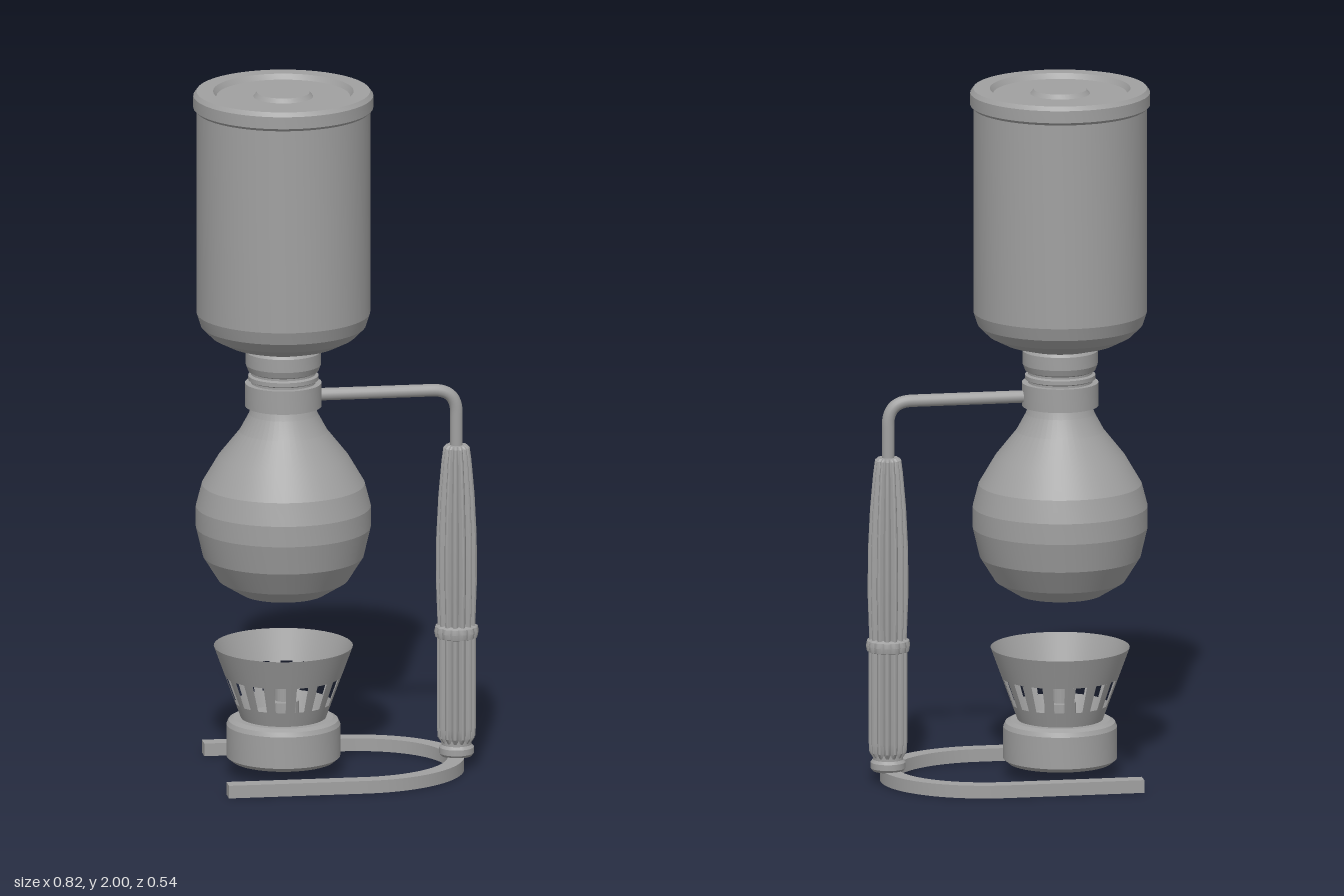
import * as THREE from 'three';
import { toCreasedNormals } from 'three/addons/utils/BufferGeometryUtils.js';

const AXIS_X = -0.155;   // vertical axis of the vessels and burner
const HANDLE_X = 0.342;  // vertical axis of the stand handle

export function createModel() {
  const model = new THREE.Group();
  model.name = 'siphonBrewer';
  const grey = new THREE.MeshStandardMaterial({ color: 0xa0a0a0, side: THREE.DoubleSide });
  grey.name = 'grey';

  function add(name, geometry, x = 0, y = 0, z = 0, parent = model) {
    const mesh = new THREE.Mesh(geometry, grey);
    mesh.name = name;
    mesh.position.set(x, y, z);
    parent.add(mesh);
    return mesh;
  }

  // Profiles are [radius, y] pairs running from bottom to top
  function lathe(profile, segments = 48, crease = 0.2) {
    const points = profile.map(([r, y]) => new THREE.Vector2(r, y));
    return toCreasedNormals(new THREE.LatheGeometry(points, segments), crease);
  }

  // Lathe with vertical flutes: depth is the groove depth as a fraction of radius
  function fluted(profile, ribs, depth) {
    const points = profile.map(([r, y]) => new THREE.Vector2(r, y));
    const geometry = new THREE.LatheGeometry(points, ribs * 6);
    const p = geometry.attributes.position;
    for (let i = 0; i < p.count; i++) {
      const angle = Math.atan2(p.getX(i), p.getZ(i));
      const k = 1 - depth * (1 - Math.abs(Math.sin(angle * ribs / 2)));
      p.setXYZ(i, p.getX(i) * k, p.getY(i), p.getZ(i) * k);
    }
    return toCreasedNormals(geometry, 0.45);
  }

  // Lid: raised rim, shallow recess and a low central disc
  add('lid', lathe([
    [0, 1.945], [0.248, 1.945], [0.256, 1.953], [0.256, 1.988], [0.247, 2],
    [0.2, 2], [0.19, 1.985], [0.085, 1.985], [0.075, 1.997], [0, 1.997],
  ]), AXIS_X);

  // Upper chamber
  add('upperChamber', lathe([
    [0, 1.245], [0.105, 1.247], [0.16, 1.262], [0.205, 1.285], [0.235, 1.315],
    [0.247, 1.352], [0.247, 1.946],
  ]), AXIS_X);

  // Stopper and neck rings between the vessels
  add('stopper', lathe([
    [0.092, 1.14], [0.092, 1.152], [0.1, 1.156], [0.1, 1.168], [0.092, 1.172],
    [0.092, 1.178], [0.1, 1.182], [0.107, 1.2], [0.107, 1.238], [0.1, 1.248], [0, 1.248],
  ]), AXIS_X);
  add('neckCollar', lathe([
    [0.09, 1.078], [0.109, 1.078], [0.109, 1.146], [0.09, 1.146],
  ]), AXIS_X);

  // Lower flask
  add('lowerFlask', lathe([
    [0, 0.522], [0.07, 0.52], [0.12, 0.53], [0.185, 0.57], [0.229, 0.64],
    [0.249, 0.725], [0.249, 0.785], [0.232, 0.85], [0.185, 0.93], [0.125, 1.005],
    [0.098, 1.055], [0.09, 1.08],
  ]), AXIS_X);

  // Support arm
  const arm = new THREE.CurvePath();
  const v = (x, y) => new THREE.Vector3(x, y, 0);
  arm.add(new THREE.LineCurve3(v(-0.06, 1.107), v(0.272, 1.107)));
  arm.add(new THREE.CubicBezierCurve3(
    v(0.272, 1.107), v(0.32, 1.107), v(HANDLE_X, 1.085), v(HANDLE_X, 1.037)));
  arm.add(new THREE.LineCurve3(v(HANDLE_X, 1.037), v(HANDLE_X, 0.92)));
  add('supportArm', new THREE.TubeGeometry(arm, 60, 0.018, 16));

  // Fluted handle with a middle ring and a foot
  const handle = new THREE.Group();
  handle.name = 'handle';
  handle.position.x = HANDLE_X;
  model.add(handle);
  add('handleGrip', fluted([
    [0.054, 0.41], [0.059, 0.55], [0.058, 0.68], [0.052, 0.8], [0.043, 0.9],
    [0.038, 0.937], [0.03, 0.945], [0, 0.945],
  ], 14, 0.18), 0, 0, 0, handle);
  add('handleRing', fluted([
    [0.05, 0.38], [0.061, 0.384], [0.064, 0.4], [0.061, 0.414], [0.05, 0.42],
  ], 14, 0.07), 0, 0, 0, handle);
  add('handleLower', fluted([
    [0.044, 0.075], [0.054, 0.09], [0.056, 0.12], [0.056, 0.385],
  ], 14, 0.18), 0, 0, 0, handle);
  add('handleFoot', lathe([
    [0, 0.03], [0.044, 0.035], [0.05, 0.043], [0.05, 0.06], [0.043, 0.068], [0.043, 0.085],
  ], 32, 0.3), 0, 0, 0, handle);

  // U-shaped base, drawn in plan and extruded upwards
  const plan = new THREE.Shape();
  plan.moveTo(-0.35, -0.268);
  plan.lineTo(0.045, -0.268);
  plan.absellipse(0.045, 0, 0.317, 0.268, -Math.PI / 2, Math.PI / 2, false);
  plan.lineTo(-0.35, 0.268);
  plan.lineTo(-0.35, 0.222);
  plan.lineTo(0.045, 0.222);
  plan.absellipse(0.045, 0, 0.27, 0.222, Math.PI / 2, -Math.PI / 2, true);
  plan.lineTo(-0.35, -0.222);
  plan.closePath();
  const base = new THREE.ExtrudeGeometry(plan, { depth: 0.037, bevelEnabled: false, curveSegments: 32 });
  base.rotateX(-Math.PI / 2);
  add('base', toCreasedNormals(base, 0.4));

  // Burner body
  const burner = new THREE.Group();
  burner.name = 'burner';
  burner.position.x = AXIS_X;
  model.add(burner);
  add('burnerBody', lathe([
    [0, 0.041], [0.148, 0.041], [0.162, 0.053], [0.162, 0.145], [0.156, 0.158],
    [0.142, 0.166], [0, 0.166],
  ]), 0, 0, 0, burner);
  add('wick', lathe([
    [0.045, 0.165], [0.045, 0.215], [0.025, 0.215], [0.025, 0.27], [0, 0.27],
  ], 24), 0, 0, 0, burner);

  // Flared wind guard: two bands joined by posts that leave open slots
  const guardRadius = (y) => 0.121 + (y - 0.165) * (0.077 / 0.21);
  function guardBand(name, y0, y1, segments, start, length) {
    add(name, new THREE.CylinderGeometry(
      guardRadius(y1), guardRadius(y0), y1 - y0, segments, 1, true, start, length,
    ), 0, (y0 + y1) / 2, 0, burner);
  }
  guardBand('guardLowerBand', 0.165, 0.21, 48, 0, Math.PI * 2);
  guardBand('guardUpperBand', 0.288, 0.375, 48, 0, Math.PI * 2);
  const slots = 16;
  const pitch = Math.PI * 2 / slots;
  for (let i = 0; i < slots; i++) {
    guardBand('guardPost', 0.21, 0.288, 2, (i - 0.24) * pitch, 0.48 * pitch);
  }

  return model;
}
